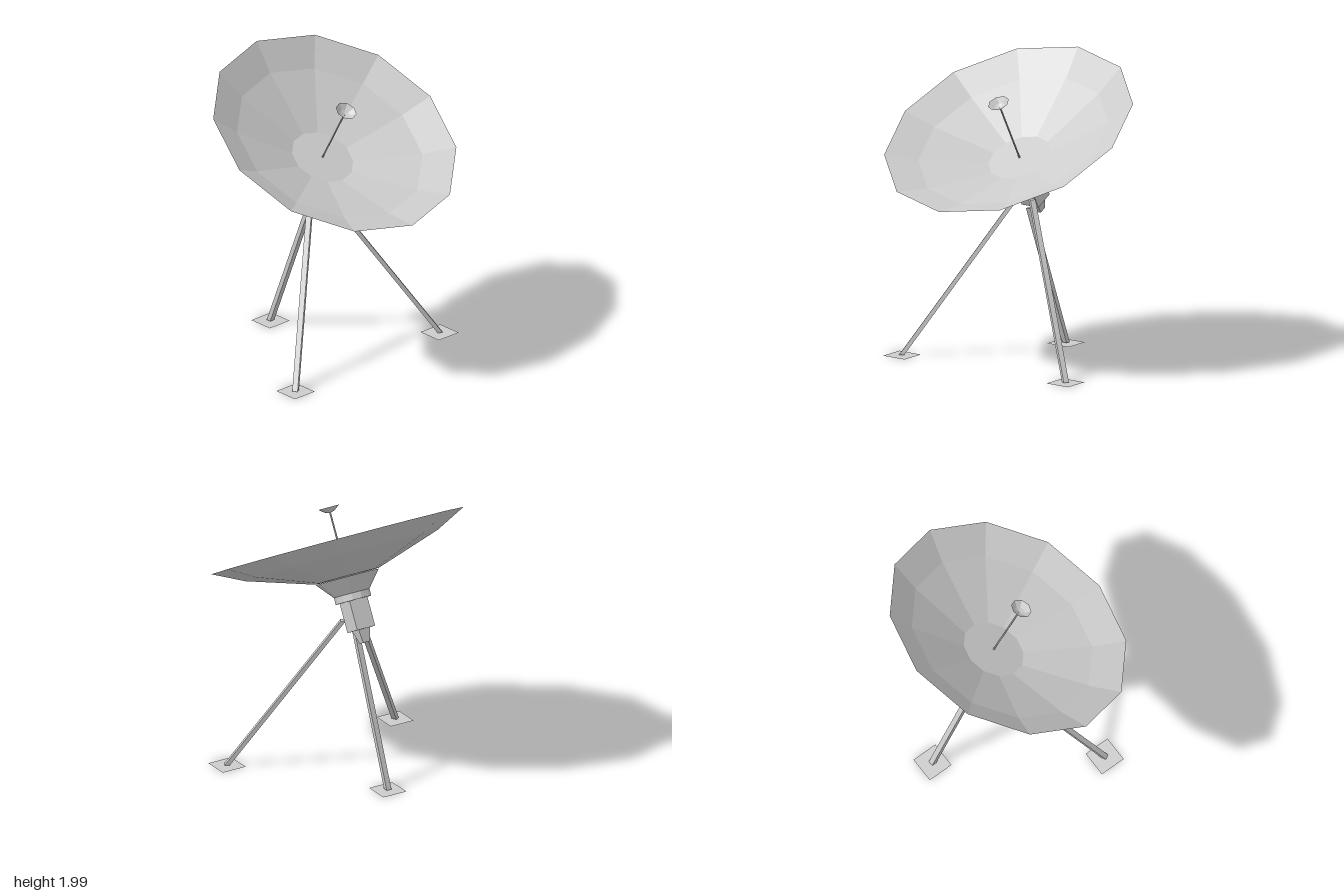
import * as THREE from 'three';

export function createModel() {
  const model = new THREE.Group();
  model.name = 'satelliteDish';
  const solid = new THREE.MeshStandardMaterial({ color: 0xcccccc, flatShading: true });
  const thin = new THREE.MeshStandardMaterial({ color: 0xcccccc, flatShading: true, side: THREE.DoubleSide });

  const add = (parent, name, geometry, material = solid) => {
    const mesh = new THREE.Mesh(geometry, material);
    mesh.name = name;
    parent.add(mesh);
    return mesh;
  };

  // Tilted head: origin at the centre of the dish rim, local +y along the dish axis
  const head = new THREE.Group();
  head.name = 'head';
  head.position.set(0, 1.58, 0);
  head.rotation.x = 0.506;
  model.add(head);

  const lathe = (name, points, sides) =>
    add(head, name, new THREE.LatheGeometry(points.map(p => new THREE.Vector2(...p)), sides), thin);
  // Tapered solid between two heights on the dish axis
  const axial = (name, rTop, rBottom, top, bottom, sides) => {
    const g = new THREE.CylinderGeometry(rTop, rBottom, top - bottom, sides);
    if (sides === 4) g.rotateY(Math.PI / 4);
    g.translate(0, (top + bottom) / 2, 0);
    return add(head, name, g);
  };

  // Reflector with a flat floor
  lathe('dish', [[0, -0.245], [0.218, -0.245], [0.66, -0.103], [0.866, 0]], 12);

  // Feed rod and small secondary reflector
  axial('feedRod', 0.006, 0.006, 0.19, -0.245, 6);
  lathe('feedReflector', [[0, 0.187], [0.035, 0.2], [0.073, 0.228]], 8);

  // Hub, collar, square mount and tail behind the dish
  axial('hub', 0.216, 0.12, -0.25, -0.365, 12);
  axial('collar', 0.122, 0.122, -0.36, -0.41, 12);
  const s = Math.SQRT2;
  axial('mountBlock', 0.07 * s, 0.07 * s, -0.41, -0.61, 4);
  axial('mountTail', 0.045 * s, 0.026 * s, -0.61, -0.7, 4);

  // Tripod: square bars sheared so both ends stay level, each on a thin foot plate
  const legs = [
    { name: 'leftLeg', foot: [0.69, 0.28], top: [0.065, 1.08, -0.17], turn: Math.PI / 3 },
    { name: 'rightLeg', foot: [-0.65, 0.315], top: [-0.06, 1.08, -0.17], turn: -Math.PI / 3 },
    { name: 'rearLeg', foot: [0, -0.625], top: [0, 1.0, -0.23], turn: 0 },
  ];
  for (const { name, foot, top, turn } of legs) {
    const y0 = 0.01, h = top[1] - y0;
    const g = new THREE.BoxGeometry(0.037, h, 0.034);
    g.rotateY(turn);
    const p = g.attributes.position;
    for (let i = 0; i < p.count; i++) {
      const t = p.getY(i) / h + 0.5;
      p.setXYZ(i,
        p.getX(i) + THREE.MathUtils.lerp(foot[0], top[0], t),
        y0 + t * h,
        p.getZ(i) + THREE.MathUtils.lerp(foot[1], top[2], t));
    }
    g.computeVertexNormals();
    add(model, name, g);

    const plate = new THREE.PlaneGeometry(0.18, 0.18);
    plate.rotateX(-Math.PI / 2);
    add(model, name + 'FootPlate', plate, thin).position.set(foot[0], 0.005, foot[1]);
  }
  return model;
}
